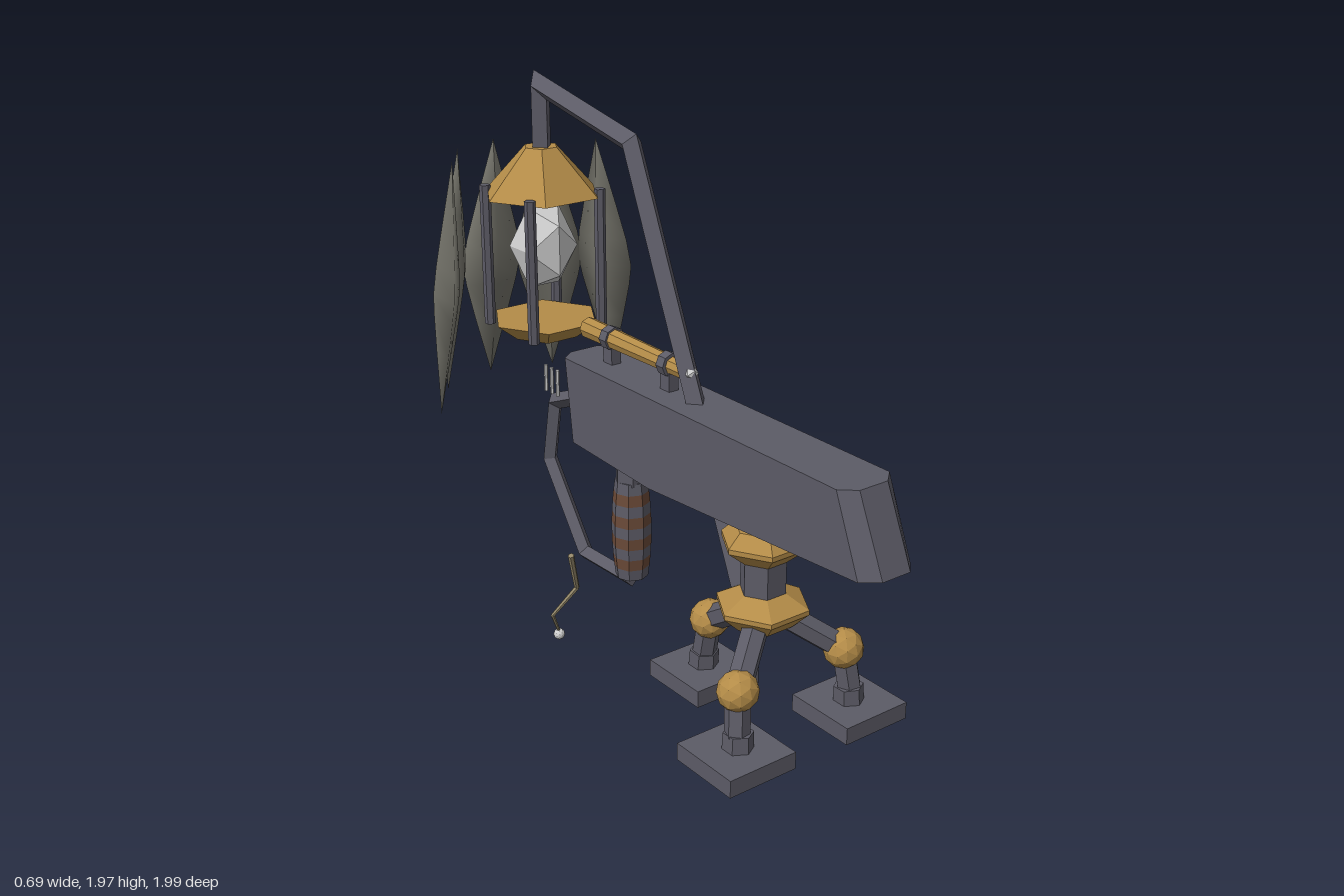
import * as THREE from 'three';
import { ConvexGeometry } from 'three/addons/geometries/ConvexGeometry.js';

const mat = (name, color) => {
  const m = new THREE.MeshStandardMaterial({ color });
  m.name = name;
  return m;
};
const V = (x, y, z) => new THREE.Vector3(x, y, z);

// Faceted copy of a geometry
function flat(geo) {
  const g = geo.index ? geo.toNonIndexed() : geo;
  g.computeVertexNormals();
  return g;
}

// Square bar standing on its edge, mitred along a path of [z, y] points
function mitredBar(path, r) {
  const pts = path.map(([z, y]) => V(0, y, z));
  const X = V(1, 0, 0), pos = [], idx = [];
  pts.forEach((p, i) => {
    const before = p.clone().sub(pts[i - 1] ?? p).normalize();
    const after = (pts[i + 1] ?? p).clone().sub(p).normalize();
    const t = before.clone().add(after).normalize();
    const stretch = 1 / t.dot(i ? before : after);
    const n = t.cross(X).multiplyScalar(r * stretch);
    for (const o of [V(r, 0, 0), n, V(-r, 0, 0), n.clone().negate()]) pos.push(...p.clone().add(o).toArray());
  });
  for (let i = 0; i < pts.length - 1; i++) {
    for (let k = 0; k < 4; k++) {
      const a = i * 4 + k, b = i * 4 + (k + 1) % 4;
      idx.push(a, b, b + 4, a, b + 4, a + 4);
    }
  }
  const e = (pts.length - 1) * 4;
  idx.push(0, 2, 1, 0, 3, 2, e, e + 1, e + 2, e, e + 2, e + 3);
  const g = new THREE.BufferGeometry();
  g.setAttribute('position', new THREE.Float32BufferAttribute(pos, 3));
  g.setIndex(idx);
  return flat(g);
}

export function createModel() {
  const root = new THREE.Group();
  root.name = 'lanternContraption';
  const iron = mat('iron', 0x5c5b66);
  const brass = mat('brass', 0xb48c48);
  const leather = mat('leather', 0x6b4a38);
  const glass = mat('glass', 0xcfcfcf);
  const feather = mat('feather', 0x74736a);
  const wood = mat('wood', 0x94886a);

  const add = (name, geo, material, x = 0, y = 0, z = 0, parent = root) => {
    const m = new THREE.Mesh(geo, material);
    m.name = name;
    m.position.set(x, y, z);
    parent.add(m);
    return m;
  };
  // Faceted cylinder between two points, turned by an optional angle
  const rod = (name, a, b, ra, rb, sides, material) => {
    const d = b.clone().sub(a);
    const m = add(name, flat(new THREE.CylinderGeometry(rb, ra, d.length(), sides)), material);
    m.position.copy(a).addScaledVector(d, 0.5);
    m.quaternion.setFromUnitVectors(V(0, 1, 0), d.normalize());
    return m;
  };
  // Six-sided turned part with corners on the x axis; profile is [radius, y]
  const hex = (name, profile, material, z) => {
    const pts = [[0, profile[0][1]], ...profile, [0, profile.at(-1)[1]]].map(p => new THREE.Vector2(...p));
    return add(name, flat(new THREE.LatheGeometry(pts, 6, Math.PI / 6)), material, 0, 0, z);
  };

  // Long chamfered body with a keeled underside
  const hull = [];
  for (const s of [-1, 1]) {
    for (const [x, y, z] of [
      [0.05, 1.13, 0.9], [0.095, 1.13, 0.86], [0.095, 1.13, -0.38], [0.05, 1.13, -0.415],
      [0.05, 0.905, 1], [0.095, 0.9, 0.955], [0.095, 0.84, 0.05], [0.05, 0.84, 0.05],
      [0.095, 0.857, -0.345], [0.05, 0.86, -0.38],
    ]) hull.push(V(s * x, y, z));
  }
  add('body', new ConvexGeometry(hull), iron);

  // Bent bars
  add('lanternArm', mitredBar([[0.405, 0.55], [-0.15, 1.835], [-0.625, 1.93], [-0.625, 1.73]], 0.034), iron);
  add('handGuard', mitredBar([[-0.165, 0.417], [-0.425, 0.41], [-0.625, 0.685], [-0.585, 0.9], [-0.38, 0.985]], 0.027), iron);

  // Tripod hub
  const hubZ = 0.475;
  hex('upperHub', [[0.07, 0.75], [0.13, 0.8], [0.13, 0.815], [0.09, 0.855]], brass, hubZ);
  hex('hubShaft', [[0.07, 0.64], [0.07, 0.76]], iron, hubZ);
  hex('lowerHub', [[0.09, 0.545], [0.142, 0.595], [0.142, 0.61], [0.07, 0.65]], brass, hubZ);

  // Three legs: knee x, z and foot x, z
  for (const [kx, kz, fx, fz] of [[-0.2, 0.61, -0.217, 0.628], [0.2, 0.61, 0.217, 0.628], [0, 0.235, 0, 0.21]]) {
    const knee = V(kx, 0.45, kz);
    const ankle = V(fx * 0.99, 0.32, fz);
    rod('upperLeg', V(kx * 0.2, 0.575, hubZ + (kz - hubZ) * 0.2), knee, 0.04, 0.04, 6, iron);
    add('knee', flat(new THREE.IcosahedronGeometry(0.062, 1)), brass, ...knee.toArray());
    rod('lowerLeg', knee, ankle, 0.038, 0.038, 6, iron);
    rod('ankle', V(fx, 0.18, fz + (fz > 0.4 ? 0.005 : -0.01)), V(fx * 0.97, 0.33, fz), 0.05, 0.045, 6, iron);
    add('footPlate', new THREE.BoxGeometry(0.238, 0.055, 0.238), iron, fx, 0.253, fz);
  }

  // Barrel-shaped grip wrapped in bands
  const gripZ = -0.165, gripRadius = y => 0.052 + 0.012 * (1 - ((y - 0.6) / 0.168) ** 2);
  hex('gripNeck', [[0.052, 0.76], [0.052, 0.823]], iron, gripZ);
  for (let i = 0; i < 9; i++) {
    const y0 = 0.435 + i * 0.0372, y1 = y0 + 0.0372;
    const g = flat(new THREE.CylinderGeometry(gripRadius(y1), gripRadius(y0), y1 - y0, 8));
    add('gripBand', g, i % 2 ? leather : iron, 0, (y0 + y1) / 2, gripZ);
  }

  // Sighting tube on two mounts
  rod('sightTube', V(0, 1.21, 0.125), V(0, 1.21, -0.385), 0.026, 0.034, 8, brass);
  add('frontLens', new THREE.IcosahedronGeometry(0.024, 0), glass, 0, 1.21, 0.132);
  rod('rearLens', V(0, 1.21, -0.38), V(0, 1.21, -0.388), 0.028, 0.028, 8, glass);
  for (const z of [0.03, -0.26]) {
    rod('sightRing', V(0, 1.21, z + 0.017), V(0, 1.21, z - 0.017), 0.038, 0.038, 8, iron);
    add('sightMount', new THREE.BoxGeometry(0.035, 0.07, 0.045), iron, 0, 1.155, z);
  }

  // Pale pins beside the rear end
  for (const s of [-1, 1]) {
    for (const z of [-0.405, -0.437, -0.47]) {
      rod('sidePin', V(s * 0.108, 0.998, z), V(s * 0.108, 1.085, z), 0.006, 0.006, 6, glass);
    }
  }

  // Lantern
  const lampZ = -0.63;
  hex('lanternCap', [[0.195, 1.59], [0.055, 1.74]], brass, lampZ);
  hex('lanternBase', [[0.11, 1.125], [0.18, 1.18]], brass, lampZ);
  for (const x of [-0.13, 0.13]) {
    for (const z of [-0.13, 0.13]) {
      rod('lanternPost', V(x, 1.15, lampZ + z), V(x, 1.61, lampZ + z), 0.018, 0.018, 6, iron);
    }
  }
  add('crystal', flat(new THREE.IcosahedronGeometry(0.108, 0).scale(1, 1.42, 1)), glass, 0, 1.42, lampZ);

  // Fan of five pointed blades behind the lantern
  const bladeProfile = [[0, -0.415], [0.58, -0.2], [0.88, -0.08], [1, -0.01], [0.88, 0.08], [0.58, 0.2], [0, 0.415]]
    .map(p => new THREE.Vector2(...p));
  const bladeGeo = new THREE.LatheGeometry(bladeProfile, 4).scale(0.112, 1, 0.042);
  for (let i = -2; i <= 2; i++) {
    const pivot = new THREE.Group();
    pivot.name = 'bladePivot';
    pivot.position.set(0, 1.3, lampZ);
    pivot.rotation.y = i * Math.PI / 5;
    root.add(pivot);
    add('blade', bladeGeo, feather, 0, 0, -0.32, pivot).rotation.x = 0.09;
  }

  // Dangling crooked cord with a bead
  const cord = [V(0, 0.36, -0.515), V(0.045, 0.21, -0.55), V(-0.038, 0.115, -0.58), V(0, 0.03, -0.6)];
  for (let i = 0; i < 3; i++) rod('cord', cord[i], cord[i + 1], 0.011 - i * 0.002, 0.009 - i * 0.002, 6, wood);
  add('bead', flat(new THREE.IcosahedronGeometry(0.02, 1)), glass, 0, 0.021, -0.6);

  return root;
}
